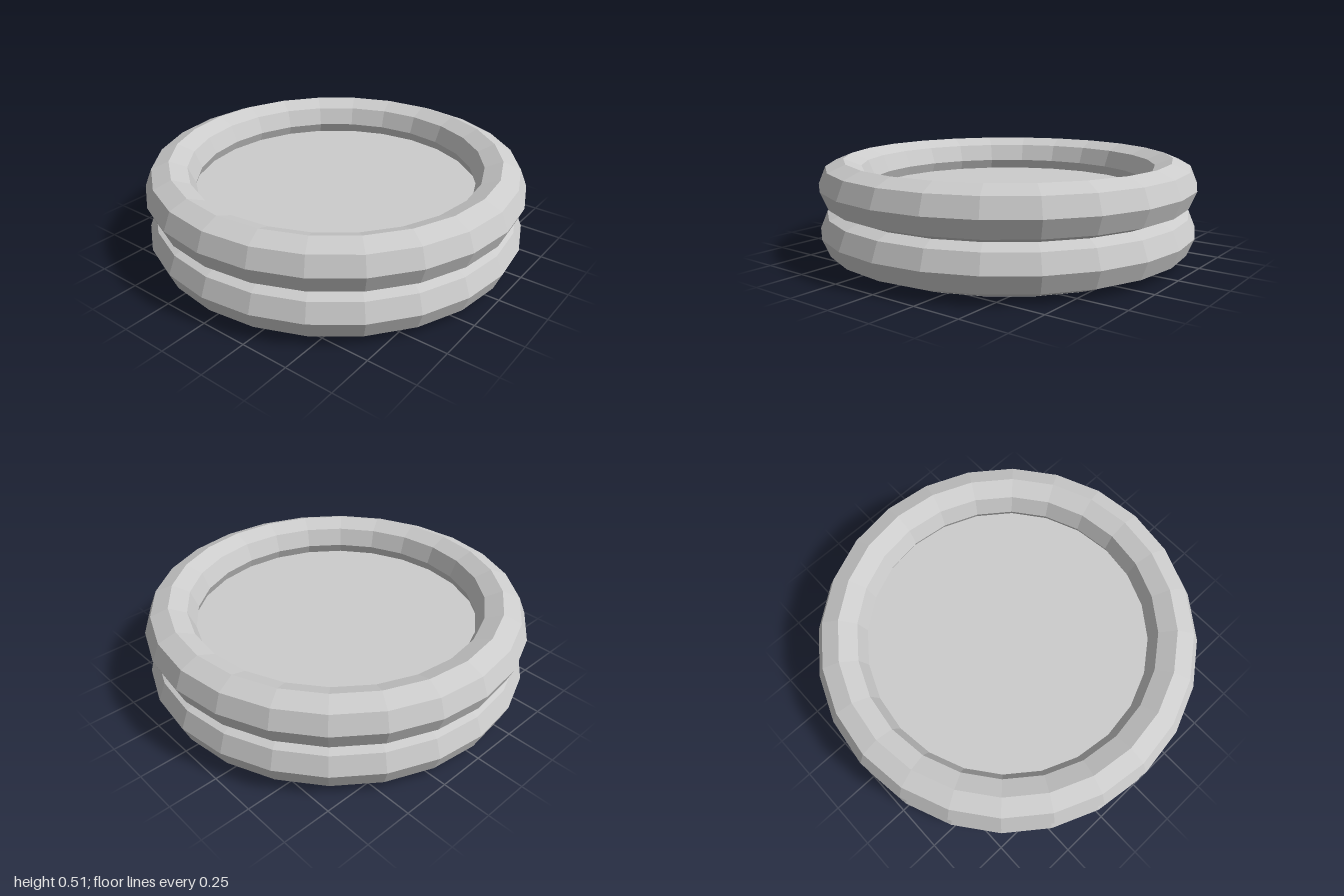
import * as THREE from 'three';

export function createModel() {
  const group = new THREE.Group();
  const grey = new THREE.MeshStandardMaterial({ color: 0xcccccc, flatShading: true });
  grey.name = 'light grey';

  const add = (name, geometry, y) => {
    const mesh = new THREE.Mesh(geometry, grey);
    mesh.name = name;
    mesh.position.y = y;
    group.add(mesh);
  };

  // Two stacked faceted rings with octagonal cross-sections
  const ring = new THREE.TorusGeometry(0.87, 0.13, 8, 24).rotateX(Math.PI / 2);
  add('lowerRing', ring, 0.145);
  add('upperRing', ring, 0.383);

  // Solid disc closing the middle: its top is the floor, its bottom the foot
  add('floorDisc', new THREE.CylinderGeometry(0.83, 0.83, 0.33, 24), 0.165);

  return group;
}
